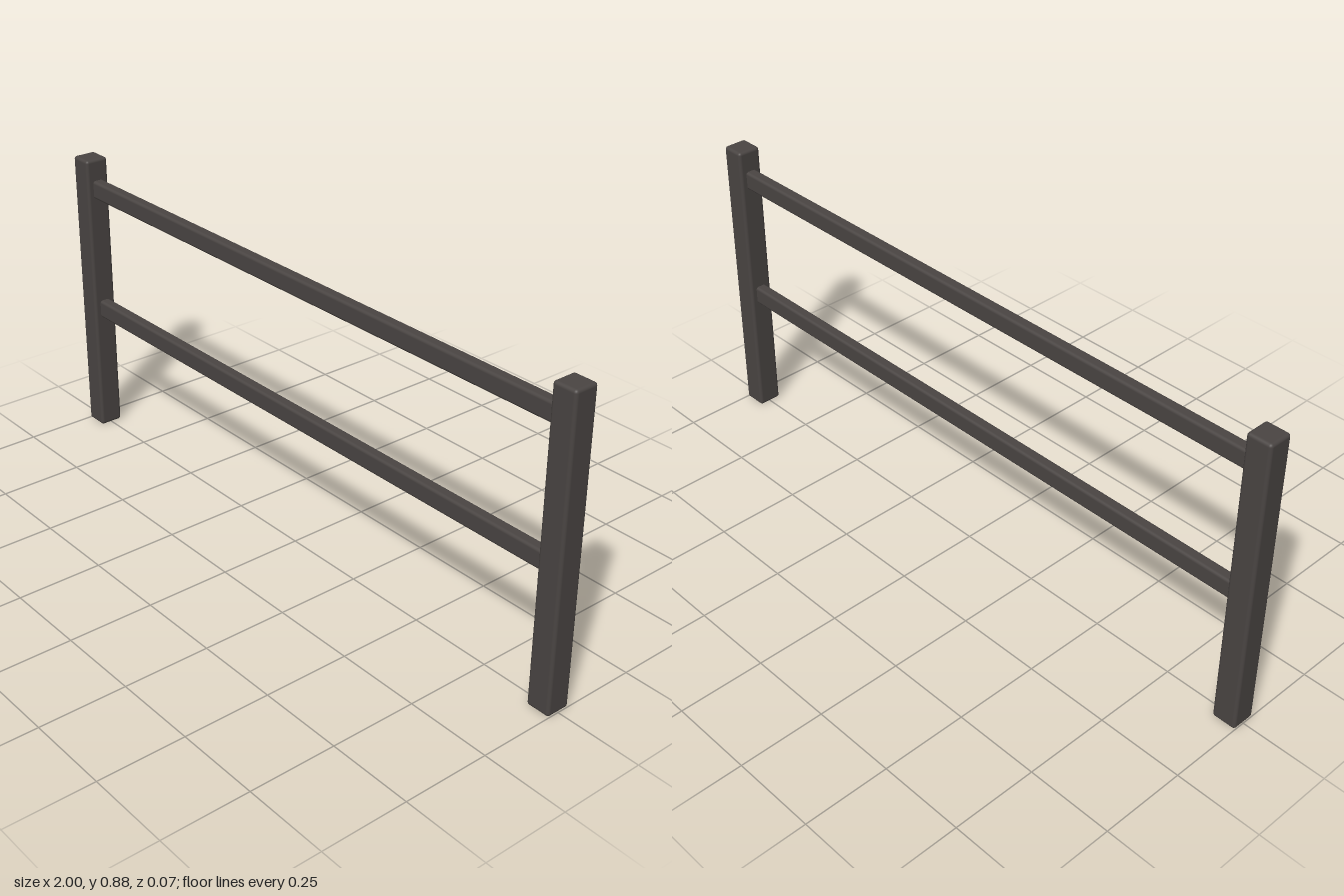
import * as THREE from 'three';
import { RoundedBoxGeometry } from 'three/addons/geometries/RoundedBoxGeometry.js';

export function createModel() {
  const group = new THREE.Group();
  const darkMetal = new THREE.MeshStandardMaterial({ name: 'dark metal', color: 0x4a4543 });

  // Softly rounded bar, placed by its centre
  function bar(name, w, h, d, radius, x, y) {
    const mesh = new THREE.Mesh(new RoundedBoxGeometry(w, h, d, 3, radius), darkMetal);
    mesh.name = name;
    mesh.position.set(x, y, 0);
    group.add(mesh);
  }

  // Upright posts
  const height = 0.885, post = 0.072;
  for (const [name, side] of [['leftPost', 1], ['rightPost', -1]]) {
    bar(name, post, height, post, 0.009, side * (1 - post / 2), height / 2);
  }

  // Horizontal rails, their ends sunk into the posts
  bar('upperRail', 1.88, 0.055, 0.034, 0.008, 0, 0.792);
  bar('lowerRail', 1.88, 0.055, 0.034, 0.008, 0, 0.402);

  return group;
}
